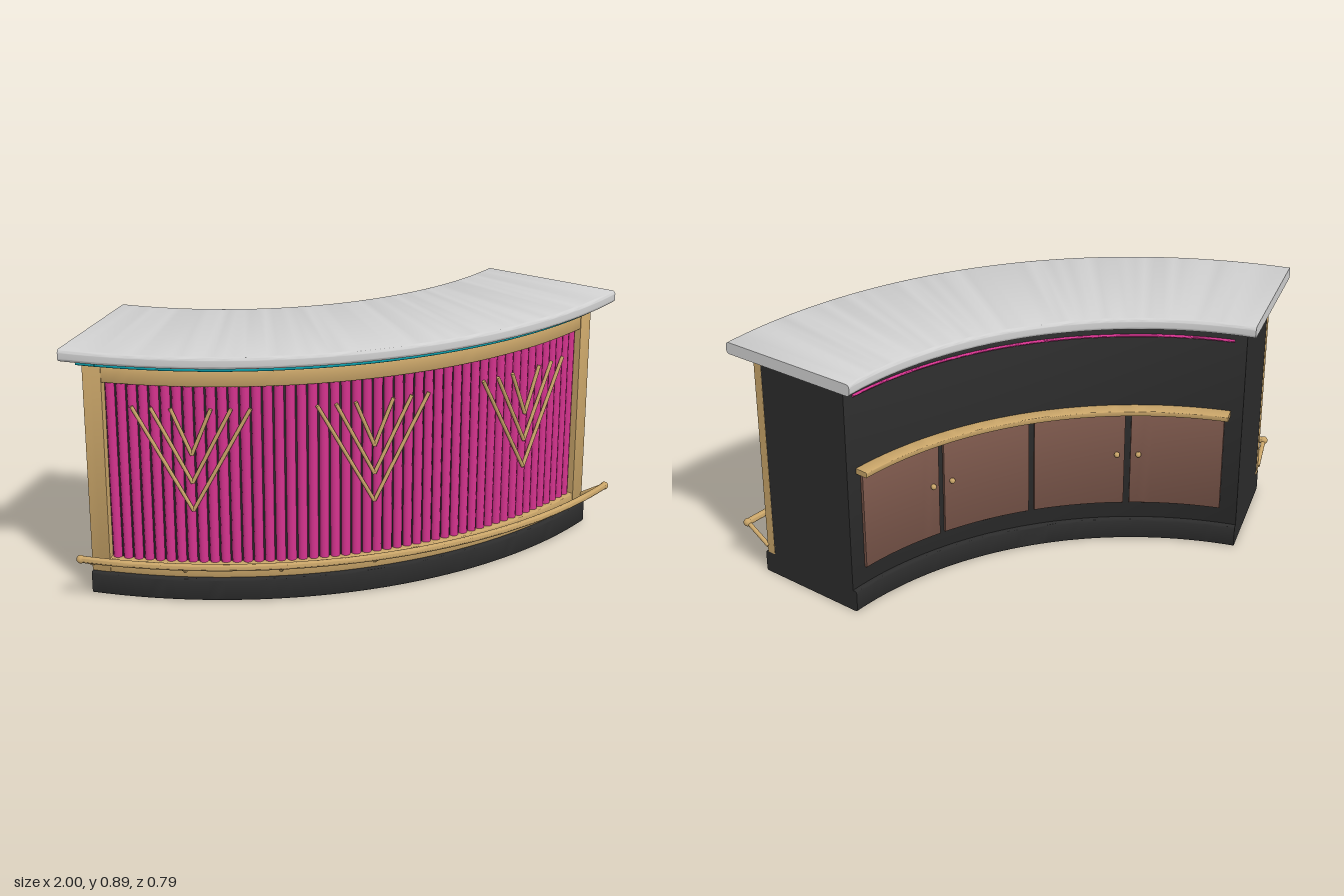
import * as THREE from 'three';
import { toCreasedNormals } from 'three/addons/utils/BufferGeometryUtils.js';

const CENTRE_Z = -1.31; // centre of all the concentric arcs
const DEG = Math.PI / 180;
const END = 35 * DEG; // half sweep of the body

const material = (name, color) => {
  const m = new THREE.MeshStandardMaterial({ color });
  m.name = name;
  return m;
};

// Point at an angle, radius and height around the arc centre
const polar = (angle, r, y) => new THREE.Vector3(r * Math.sin(angle), y, r * Math.cos(angle));

// Rounded rectangle in (radius, height), swept along an arc
function arcBlock(r0, r1, y0, y1, a0, a1, round = 0.004) {
  const s = new THREE.Shape();
  const q = Math.PI / 2;
  s.absarc(r1 - round, y0 + round, round, -q, 0);
  s.absarc(r1 - round, y1 - round, round, 0, q);
  s.absarc(r0 + round, y1 - round, round, q, 2 * q);
  s.absarc(r0 + round, y0 + round, round, 2 * q, 3 * q);
  const steps = Math.max(2, Math.ceil((a1 - a0) / (1.2 * DEG)));
  const g = new THREE.ExtrudeGeometry(s, { depth: 1, steps, curveSegments: 4, bevelEnabled: false });
  const p = g.attributes.position;
  for (let i = 0; i < p.count; i++) {
    const v = polar(a1 - p.getZ(i) * (a1 - a0), p.getX(i), p.getY(i));
    p.setXYZ(i, v.x, v.y, v.z);
  }
  return toCreasedNormals(g, 0.6);
}

// Thin round bar following an arc, with closed ends
function arcTube(r, y, radius, half) {
  return arcBlock(r - radius, r + radius, y - radius, y + radius, -half, half, radius * 0.999);
}

// Straight round rod between two points
function rod(a, b, radius) {
  const d = b.clone().sub(a);
  const g = new THREE.CylinderGeometry(radius, radius, d.length(), 10);
  g.applyQuaternion(new THREE.Quaternion().setFromUnitVectors(new THREE.Vector3(0, 1, 0), d.normalize()));
  const mid = a.clone().add(b).multiplyScalar(0.5);
  return g.translate(mid.x, mid.y, mid.z);
}

export function createModel() {
  const stone = material('pale stone', 0xd0d0d0);
  const dark = material('charcoal', 0x2c2c2c);
  const gold = material('brass', 0xc8a468);
  const pink = material('magenta', 0xd6338f);
  const teal = material('teal', 0x0a98a4);
  const brown = material('brown wood', 0x7a564a);

  const model = new THREE.Group();
  model.name = 'curvedBarCounter';
  const arcs = new THREE.Group();
  arcs.name = 'counterParts';
  arcs.position.z = CENTRE_Z;
  model.add(arcs);
  const add = (name, geometry, mat) => {
    const mesh = new THREE.Mesh(geometry, mat);
    mesh.name = name;
    arcs.add(mesh);
    return mesh;
  };

  // Main masses
  add('plinth', arcBlock(1.19, 1.612, 0, 0.08, -END, END, 0.008), dark);
  add('body', arcBlock(1.206, 1.569, 0.08, 0.85, -END, END, 0.001), dark);
  const topEnd = 36.87 * DEG;
  add('countertop', arcBlock(1.143, 1.667, 0.848, 0.89, -topEnd, topEnd, 0.012), stone);

  // Front frame
  add('bottomBand', arcBlock(1.565, 1.598, 0.08, 0.13, -END, END), gold);
  add('topBand', arcBlock(1.565, 1.598, 0.765, 0.82, -END, END), gold);
  for (const s of [-1, 1]) {
    const a = [s * 32.7 * DEG, s * 35.03 * DEG].sort((p, q) => p - q);
    add('endPost', arcBlock(1.569, 1.6, 0.08, 0.82, a[0], a[1], 0.002), gold);
  }

  // Fluted front panel
  const slats = 48;
  const pitch = (2 * 32.7 * DEG) / slats;
  for (let i = 0; i < slats; i++) {
    const a = (i + 0.5 - slats / 2) * pitch;
    add('slat', rod(polar(a, 1.569, 0.125), polar(a, 1.569, 0.77), 0.016), pink);
  }

  // Nested chevrons of thin rods
  for (const centre of [-22.1, 0, 22.1]) {
    for (const [half, apex] of [[7.1, 0.325], [4.8, 0.425], [2.4, 0.525]]) {
      for (const s of [-1, 1]) {
        const foot = polar(centre * DEG, 1.592, apex);
        const tip = polar((centre + s * half) * DEG, 1.592, 0.687);
        add('chevronRod', rod(foot, tip, 0.0065), gold);
      }
    }
  }

  // Light strips under the countertop, front and back
  add('frontLightStrip', arcTube(1.626, 0.835, 0.006, 35.3 * DEG), teal);
  add('backLightStrip', arcTube(1.205, 0.8, 0.005, 33 * DEG), pink);

  // Foot rail with brackets and ball ends
  add('footRail', arcTube(1.693, 0.163, 0.012, END), gold);
  for (let i = -3; i <= 3; i++) {
    const a = (i / 3) * END;
    add('railBracket', rod(polar(a, 1.597, 0.105), polar(a, 1.69, 0.163), 0.008), gold);
  }
  for (const s of [-1, 1]) {
    const p = polar(s * END, 1.693, 0.163);
    add('railEnd', new THREE.SphereGeometry(0.0145, 16, 12).translate(p.x, p.y, p.z), gold);
  }

  // Back: work shelf, cabinet doors and knobs
  add('backShelf', arcBlock(1.158, 1.21, 0.513, 0.533, -33 * DEG, 33 * DEG), gold);
  const doorPitch = 16.3;
  for (let i = 0; i < 4; i++) {
    const mid = (i - 1.5) * doorPitch;
    const half = doorPitch / 2 - 0.5;
    add('cabinetDoor', arcBlock(1.196, 1.21, 0.145, 0.5, (mid - half) * DEG, (mid + half) * DEG, 0.002), brown);
    const side = i % 2 ? -1 : 1; // knobs meet in pairs
    const p = polar((mid + side * (half - 1.3)) * DEG, 1.188, 0.345);
    add('doorKnob', new THREE.SphereGeometry(0.01, 14, 10).translate(p.x, p.y, p.z), gold);
  }
  return model;
}
